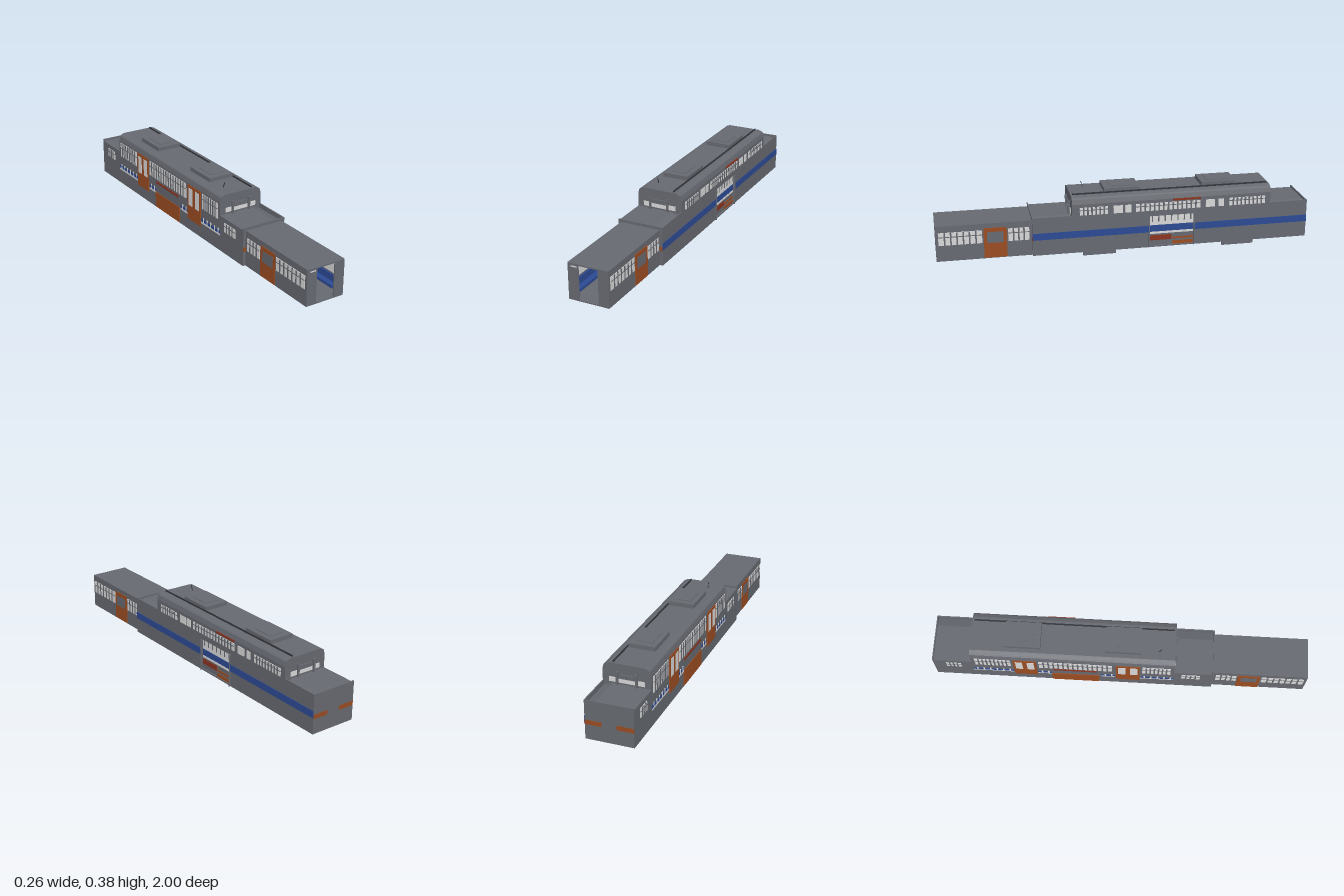
import * as THREE from 'three';

export function createModel() {
  const model = new THREE.Group();
  const mat = (name, color) => {
    const m = new THREE.MeshStandardMaterial({ color, flatShading: true });
    m.name = name;
    return m;
  };
  const grey = mat('body grey', 0x666970);
  const orange = mat('door orange', 0x9a4c22);
  const blue = mat('stripe blue', 0x2c4a94);
  const light = mat('window light', 0xd8d8d8);
  const red = mat('trim red', 0x8a3420);
  const dark = mat('rail dark', 0x33353a);

  // Box from its limits on each axis
  const box = (name, m, x0, x1, y0, y1, z0, z1) => {
    const g = new THREE.BoxGeometry(Math.abs(x1 - x0), Math.abs(y1 - y0), Math.abs(z1 - z0));
    const mesh = new THREE.Mesh(g, m);
    mesh.position.set((x0 + x1) / 2, (y0 + y1) / 2, (z0 + z1) / 2);
    mesh.name = name;
    model.add(mesh);
    return mesh;
  };
  // Thin plate on a side wall; x is the wall face, s its outward sign
  const plate = (name, m, x, s, y0, y1, z0, z1, t = 0.003) =>
    box(name, m, x, x + s * t, y0, y1, z0, z1);
  // Glazed strip with upright bars and a middle rail
  const windowStrip = (x, s, y0, y1, z0, z1, bars) => {
    plate('window', light, x, s, y0, y1, z0, z1);
    for (let i = 1; i <= bars; i++) {
      const z = z0 + ((z1 - z0) * i) / (bars + 1);
      plate('windowBar', grey, x, s, y0, y1, z - 0.004, z + 0.004, 0.005);
    }
    if (bars > 1) {
      const y = y0 + (y1 - y0) * 0.65;
      plate('windowRail', grey, x, s, y - 0.002, y + 0.002, z0, z1, 0.0045);
    }
  };
  // Profile in x and y, extruded along z
  const extrude = (name, points, z0, z1) => {
    const shape = new THREE.Shape(points.map(p => new THREE.Vector2(...p)));
    const g = new THREE.ExtrudeGeometry(shape, { depth: z1 - z0, bevelEnabled: false });
    const mesh = new THREE.Mesh(g, grey);
    mesh.position.z = z0;
    mesh.name = name;
    model.add(mesh);
  };

  const L = -0.128, R = 0.123;

  // Lower body
  box('floor', grey, L, R, 0.042, 0.05, -1, 0.5);
  box('rearEnd', grey, L, R, 0.042, 0.25, -1, -0.994);
  box('frontBulkhead', grey, L, R, 0.042, 0.25, 0.494, 0.5);
  box('rightWall', grey, L, L + 0.006, 0.042, 0.235, -1, 0.5);
  for (const [z0, z1] of [[-1, -0.37], [-0.12, 0.5]]) {
    box('leftWall', grey, R - 0.006, R, 0.042, 0.25, z0, z1);
    plate('blueStripe', blue, R, 1, 0.128, 0.165, z0, z1);
  }
  box('entryHeader', grey, R - 0.006, R, 0.218, 0.25, -0.37, -0.12);
  for (const [z0, z1] of [[-1, -0.78], [0.28, 0.5]])
    extrude('endRoof', [[L, 0.225], [R - 0.004, 0.225], [0.07, 0.24], [L, 0.24]], z0, z1);

  // Raised passenger shell with rounded roof
  extrude('upperShell', [
    [L, 0.225], [R, 0.225], [R, 0.31], [0.116, 0.335], [0.108, 0.341], [0.09, 0.348],
    [-0.097, 0.348], [-0.115, 0.341], [-0.122, 0.335], [L, 0.31],
  ], -0.79, 0.29);

  // End windows, pillars and handrails of the raised shell
  for (const [z, s] of [[0.29, 1], [-0.79, -1]]) {
    box('endWindow', light, -0.095, 0.088, 0.25, 0.275, z, z + s * 0.003);
    box('endPanel', grey, -0.045, 0.038, 0.273, 0.295, z, z + s * 0.006);
    for (const x of [-0.055, 0.045])
      box('endPillar', grey, x - 0.005, x + 0.005, 0.24, 0.308, z, z + s * 0.012);
  }

  // Roof units, rail and aerial
  for (const z of [0.015, -0.515]) {
    box('roofUnit', grey, -0.075, 0.066, 0.345, 0.37, z - 0.095, z + 0.095);
    box('roofUnitLid', grey, -0.045, 0.038, 0.37, 0.373, z - 0.06, z + 0.06);
  }
  box('roofRail', dark, 0.068, 0.074, 0.347, 0.355, -0.78, 0.28);
  const aerial = box('aerial', dark, -0.0545, -0.0515, 0.343, 0.381, 0.208, 0.211);
  aerial.rotation.x = 0.4;

  // Left upper windows
  for (const [z0, z1, n] of [[0.1, 0.25, 6], [0.02, 0.07, 0], [-0.025, 0.008, 0],
    [-0.4, -0.05, 13], [-0.48, -0.43, 0], [-0.53, -0.5, 0], [-0.76, -0.56, 8]])
    windowStrip(R, 1, 0.25, 0.292, z0, z1, n);
  plate('redSign', red, R, 1, 0.3, 0.31, -0.4, -0.25, 0.006);

  // Left centre entry, set into the wall
  const E = 0.115;
  box('entryPanel', grey, E - 0.004, E, 0.05, 0.218, -0.37, -0.12);
  plate('entryGlass', light, E, 1, 0.165, 0.216, -0.365, -0.125);
  plate('entryBlue', blue, E, 1, 0.128, 0.163, -0.365, -0.125);
  plate('entryLine', light, E, 1, 0.115, 0.126, -0.365, -0.125);
  plate('entryRed', red, E, 1, 0.078, 0.106, -0.245, -0.125);
  plate('entryOrange', orange, E, 1, 0.08, 0.09, -0.365, -0.25);
  plate('entryStep', orange, E, 1, 0.05, 0.068, -0.365, -0.25);
  for (let i = 0; i < 7; i++) {
    const z = -0.35 + i * 0.035;
    plate('entryBar', grey, E, 1, 0.185, 0.216, z - 0.003, z + 0.003, 0.005);
  }
  for (const z of [-0.37, -0.124])
    box('entryPost', grey, 0.12, 0.131, 0.042, 0.217, z, z + 0.004);

  // Right side windows and low glazed slit
  for (const [z0, z1, n] of [[-0.77, -0.58, 8], [-0.43, -0.04, 14], [0.12, 0.27, 6]])
    windowStrip(L, -1, 0.215, 0.3, z0, z1, n);
  for (const [z0, z1] of [[-0.93, -0.85], [0.33, 0.43]])
    windowStrip(L, -1, 0.165, 0.215, z0, z1, 3);
  for (const [z0, z1] of [[-0.79, -0.57], [-0.44, -0.365], [-0.1, -0.025], [0.11, 0.29]]) {
    plate('slitBlue', blue, L, -1, 0.138, 0.155, z0, z1, 0.002);
    plate('slitLight', light, L, -1, 0.128, 0.138, z0, z1, 0.002);
    for (let z = z0 + 0.02; z < z1; z += 0.035)
      plate('slitPost', light, L, -1, 0.138, 0.165, z, z + 0.008, 0.003);
  }

  // Right side doors with tall panes, and the wide centre door
  for (const [z0, z1] of [[-0.566, -0.443], [-0.02, 0.107]]) {
    plate('sideDoor', orange, L, -1, 0.108, 0.305, z0, z1, 0.005);
    const w = (z1 - z0) / 2;
    for (const a of [z0, z0 + w])
      plate('doorPane', light, L - 0.005, -1, 0.19, 0.29, a + 0.012, a + w - 0.012, 0.001);
  }
  plate('centreDoor', orange, L, -1, 0.046, 0.135, -0.365, -0.11, 0.004);
  plate('centreRed', red, L, -1, 0.19, 0.202, -0.36, -0.12, 0.004);

  // Orange end markers
  for (const [x0, x1] of [[L, -0.04], [0.036, R]])
    for (const [z, s] of [[-1, 1], [0.5, 1]])
      box('endMarker', orange, x0, x1, 0.121, 0.145, z - (z < 0 ? 0.0005 : 0), z + s * 0.002);

  // Narrow front section, open at its end
  const l = -0.113, r = 0.106;
  box('frontFloor', grey, l, r, 0.042, 0.048, 0.5, 1);
  box('frontRoof', grey, l, r, 0.228, 0.235, 0.5, 1);
  for (const [x, s] of [[l, -1], [r, 1]]) {
    box('frontWall', grey, x, x - s * 0.005, 0.042, 0.235, 0.5, 1);
    for (const [z0, z1, n] of [[0.76, 0.985, 6], [0.515, 0.625, 3]]) {
      windowStrip(x, s, 0.13, 0.2, z0, z1, n);
      plate('innerPane', light, x - s * 0.005, -s, 0.13, 0.2, z0, z1, 0.002);
    }
    plate('frontDoor', orange, x, s, 0.046, 0.21, 0.632, 0.752, 0.004);
    plate('frontDoorBand', grey, x + s * 0.004, s, 0.128, 0.188, 0.65, 0.735, 0.001);
    plate('innerDoor', orange, x - s * 0.005, -s, 0.05, 0.21, 0.632, 0.752, 0.002);
    const a = x - s * 0.008, b = x - s * 0.045;
    for (const [z0, z1] of [[0.52, 0.62], [0.77, 0.97]]) {
      box('seat', blue, a, b, 0.075, 0.09, z0, z1);
      box('seatBack', blue, a, a - s * 0.008, 0.09, 0.125, z0, z1);
    }
  }
  box('frontPanelRight', grey, l, -0.056, 0.042, 0.235, 0.994, 1);
  box('frontPanelLeft', grey, 0.049, r, 0.042, 0.235, 0.994, 1);
  box('frontLamp', light, -0.095, -0.065, 0.216, 0.223, 0.998, 1.0005);

  // Bogies: side plates with a pair of wheels inside each
  for (const z of [0.137, -0.63])
    for (const [x, s] of [[-0.078, -1], [0.07, 1]]) {
      box('bogiePlate', grey, x, x - s * 0.01, 0, 0.044, z - 0.088, z + 0.088);
      for (const dz of [-0.05, 0.05]) {
        const wheel = new THREE.Mesh(new THREE.CylinderGeometry(0.018, 0.018, 0.012, 16), grey);
        wheel.rotation.z = Math.PI / 2;
        wheel.position.set(x - s * 0.015, 0.02, z + dz);
        wheel.name = 'wheel';
        model.add(wheel);
      }
      box('axleBeam', grey, x - s * 0.01, x - s * 0.017, 0.014, 0.026, z - 0.05, z + 0.05);
    }

  return model;
}
